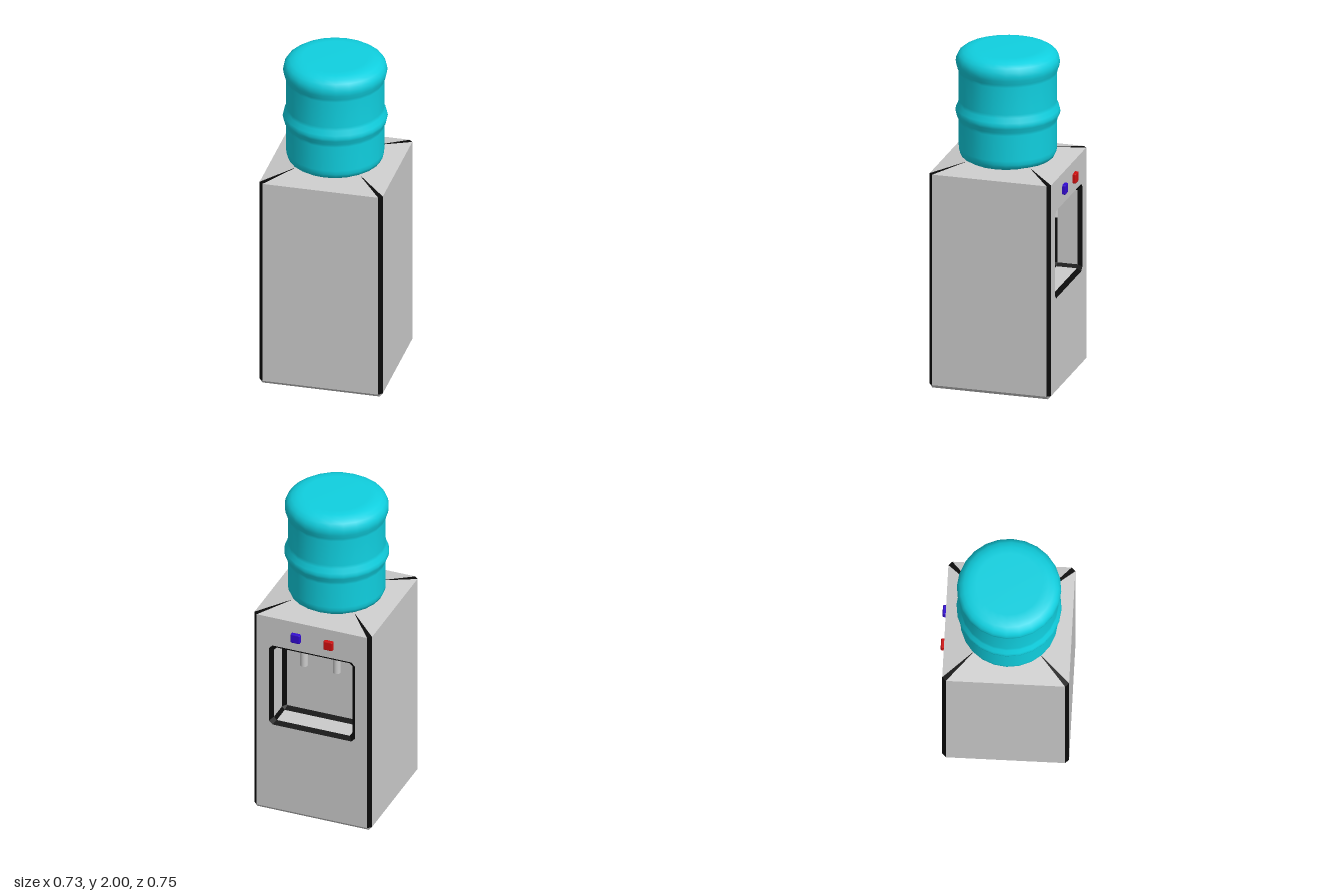
import * as THREE from 'three';
import { RoundedBoxGeometry } from 'three/addons/geometries/RoundedBoxGeometry.js';

const paint = (color, flatShading = false) => new THREE.MeshStandardMaterial({ color, flatShading });
const grey = paint(0xcccccc, true);
const black = paint(0x0a0a0a, true);

// Rectangle with cut corners at height t, half sizes w and h, corner cut c.
// Edges with an even index are the corner cuts; edge 3 faces -z.
function section(t, w, h, c) {
  return [[w - c, h], [w, h - c], [w, c - h], [w - c, -h], [c - w, -h], [-w, c - h], [-w, h - c], [c - w, h]]
    .map(([x, z]) => new THREE.Vector3(x, t, z));
}

// Collects triangles for one mesh; flip turns the surface inside out.
class Skin {
  constructor(flip = false) { this.flip = flip; this.points = []; }
  tri(a, b, c) { this.points.push(...(this.flip ? [a, c, b] : [a, b, c])); }
  quad(lower, upper, k) {
    const n = (k + 1) % 8;
    this.tri(lower[k], lower[n], upper[n]);
    this.tri(lower[k], upper[n], upper[k]);
  }
  cap(ring) { for (let i = 1; i < 7; i++) this.tri(ring[0], ring[i], ring[i + 1]); }
  mesh(name, material) {
    const geometry = new THREE.BufferGeometry().setFromPoints(this.points);
    geometry.computeVertexNormals();
    const mesh = new THREE.Mesh(geometry, material);
    mesh.name = name;
    return mesh;
  }
}

function add(group, name, geometry, material, x = 0, y = 0, z = 0) {
  const mesh = new THREE.Mesh(geometry, material);
  mesh.name = name;
  mesh.position.set(x, y, z);
  group.add(mesh);
  return mesh;
}

const HALF = 0.367, CUT = 0.022, FOOT = 0.02, RIM = 1.31;
const OPEN = 0.268, OPEN_Y = 0.853, DEPTH = 0.165;

// Cabinet: bevelled foot, straight sides, low pyramid top, black corner strips
function makeCabinet() {
  const cabinet = new THREE.Group();
  cabinet.name = 'cabinet';
  const rings = [
    section(0, 0.35, 0.35, 0.001), section(FOOT, HALF, HALF, CUT),
    section(RIM, HALF, HALF, CUT), section(1.345, 0.2, 0.2, 0.002),
  ];
  const panels = new Skin(), strips = new Skin();
  for (let r = 0; r < 3; r++) {
    for (let k = 0; k < 8; k++) {
      if (r === 1 && k === 3) continue; // the dispenser panel fills this side
      (r > 0 && k % 2 === 0 ? strips : panels).quad(rings[r], rings[r + 1], k);
    }
  }
  panels.cap(rings[3]);
  panels.cap([...rings[0]].reverse());
  cabinet.add(panels.mesh('cabinetPanels', grey), strips.mesh('cornerStrips', black));

  // Dispenser panel with its opening
  const x = HALF - CUT;
  const shape = new THREE.Shape([[-x, FOOT], [x, FOOT], [x, RIM], [-x, RIM]].map(p => new THREE.Vector2(...p)));
  shape.holes.push(new THREE.Path(section(0, OPEN, OPEN, CUT).map(p => new THREE.Vector2(p.x, p.z + OPEN_Y))));
  add(cabinet, 'dispenserPanel', new THREE.ShapeGeometry(shape), grey, 0, 0, -HALF).rotation.y = Math.PI;
  return cabinet;
}

// Recess: black chamfers at the opening, along the corners and round the back wall
function makeRecess() {
  const recess = new THREE.Group();
  recess.name = 'recess';
  const wall = OPEN - CUT, back = wall - CUT;
  const rings = [
    section(0, OPEN, OPEN, CUT), section(CUT, wall, wall, 0.018),
    section(DEPTH - CUT, wall, wall, 0.018), section(DEPTH, back, back, 0.004),
  ];
  const walls = new Skin(true), chamfers = new Skin(true);
  for (let r = 0; r < 3; r++) {
    for (let k = 0; k < 8; k++) (r === 1 && k % 2 === 1 ? walls : chamfers).quad(rings[r], rings[r + 1], k);
  }
  walls.cap(rings[3]);
  recess.add(walls.mesh('recessWalls', grey), chamfers.mesh('recessChamfers', black));
  recess.rotation.x = Math.PI / 2;
  recess.position.set(0, OPEN_Y, -HALF);
  return recess;
}

export function createModel() {
  const model = new THREE.Group();
  model.name = 'waterCooler';

  const base = new THREE.Group();
  base.name = 'base';
  base.position.z = 0.007;
  base.add(makeCabinet(), makeRecess());
  model.add(base);

  // Taps hanging in the recess, each with a button above it
  const taps = [['cold', 0.098, 0x330ad0], ['hot', -0.107, 0xd01010]];
  for (const [name, x, color] of taps) {
    add(model, name + 'Tap', new THREE.CylinderGeometry(0.023, 0.023, 0.16, 16), paint(0xcccccc), x, 1.035, -0.24);
    add(model, name + 'Button', new RoundedBoxGeometry(0.059, 0.06, 0.04, 1, 0.008), paint(color), x, 1.208, -0.36);
  }

  // Bottle with a bulging hoop and a wider rounded shoulder
  const profile = [
    [0, 1.325], [0.2, 1.325], [0.25, 1.337], [0.272, 1.352], [0.282, 1.375], [0.284, 1.4],
    [0.284, 1.555], [0.288, 1.575], [0.3, 1.6], [0.304, 1.618], [0.3, 1.638], [0.288, 1.665], [0.284, 1.685],
    [0.284, 1.85], [0.289, 1.87], [0.298, 1.895], [0.302, 1.92], [0.298, 1.945], [0.285, 1.968],
    [0.262, 1.985], [0.23, 1.996], [0.19, 2], [0, 2],
  ].map(p => new THREE.Vector2(...p));
  add(model, 'bottle', new THREE.LatheGeometry(profile, 24), paint(0x10d0e0), -0.004, 0, 0.009);

  return model;
}
